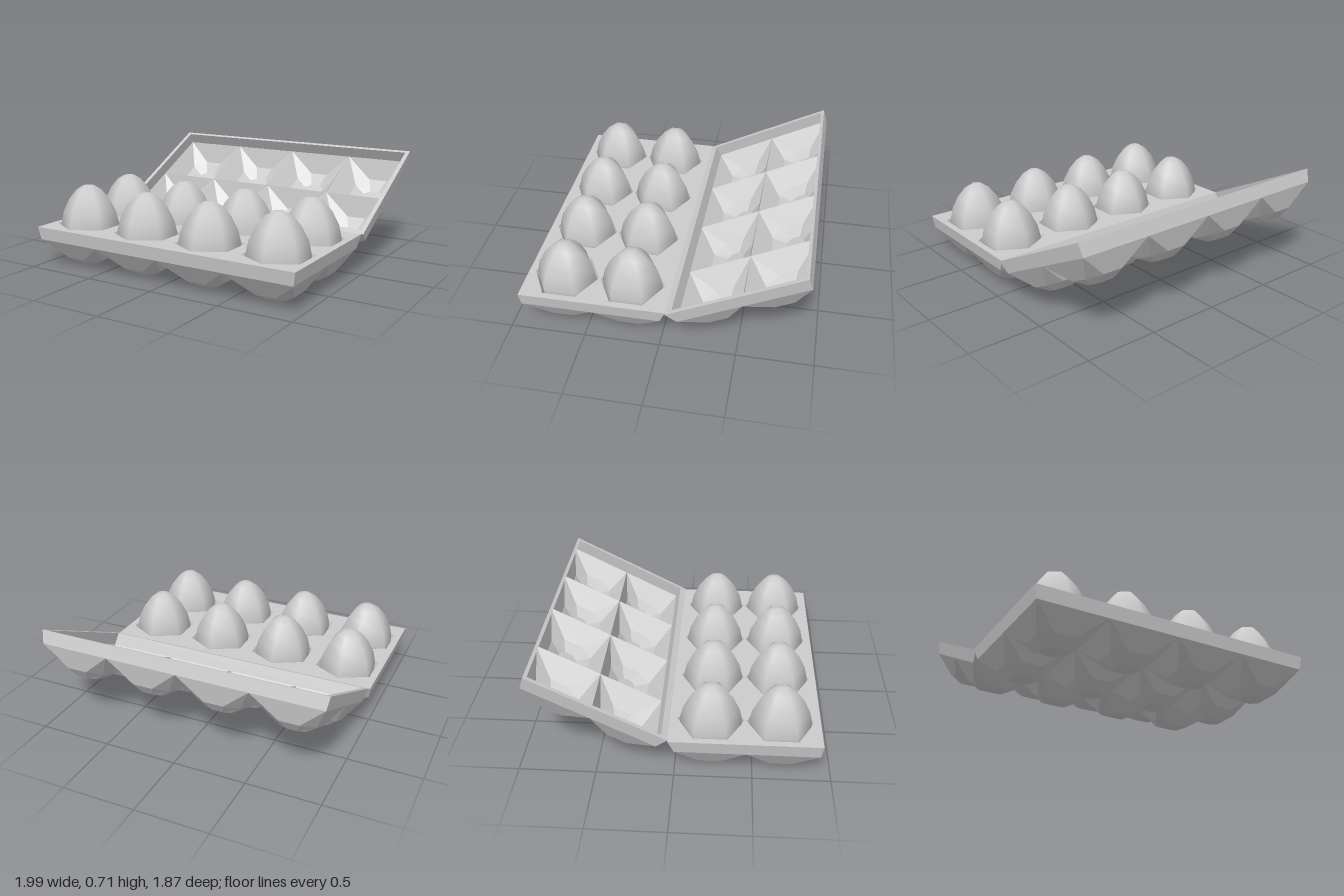
import * as THREE from 'three';

const card = new THREE.MeshStandardMaterial({ color: 0xcccccc, flatShading: true, side: THREE.DoubleSide });
const shellMat = new THREE.MeshStandardMaterial({ color: 0xcccccc });

// Cell layout, measured from the hinge edge (local z = 0) with the opening at y = 0
const CELL_X = [-0.975, -0.495, 0, 0.495, 0.975];
const CELL_Z = [0.04, 0.497, 0.96];
const CUP_X = [-0.745, -0.248, 0.248, 0.745];
const CUP_Z = [0.26, 0.718];
const EGG_Z = [0.265, 0.712];
const RIM = -0.09;

// Faceted skin through matching loops of points, optionally closed at the end
function loft(loops, cap = false) {
  const pos = [];
  const tri = (a, b, c) => {
    if (a.distanceTo(b) > 1e-5 && b.distanceTo(c) > 1e-5 && a.distanceTo(c) > 1e-5)
      for (const p of [a, b, c]) pos.push(p.x, p.y, p.z);
  };
  const n = loops[0].length;
  for (let k = 0; k + 1 < loops.length; k++) {
    const a = loops[k], b = loops[k + 1];
    for (let i = 0; i < n; i++) {
      const j = (i + 1) % n;
      tri(a[i], a[j], b[j]);
      tri(a[i], b[j], b[i]);
    }
  }
  if (cap) {
    const e = loops[loops.length - 1];
    for (let i = 1; i + 1 < n; i++) tri(e[0], e[i], e[i + 1]);
  }
  const g = new THREE.BufferGeometry();
  g.setAttribute('position', new THREE.Float32BufferAttribute(pos, 3));
  g.computeVertexNormals();
  return g;
}

const rect = (x0, x1, z0, z1, y) =>
  [[x1, z1], [x0, z1], [x0, z0], [x1, z0]].map(([x, z]) => new THREE.Vector3(x, y, z));

function octagon(cx, cz, a, b, y) {
  const k = 0.45;
  return [[1, k], [k, 1], [-k, 1], [-1, k], [-1, -k], [-k, -1], [k, -1], [1, -k]]
    .map(([x, z]) => new THREE.Vector3(cx + a * x, y, cz + b * z));
}

// Hexagon with points toward +z and -z
function hexagon(cx, cz, halfX, halfZ, y) {
  return [0, 1, 2, 3, 4, 5].map(i => {
    const t = Math.PI / 2 + i * Math.PI / 3;
    return new THREE.Vector3(cx + halfX * Math.cos(t) / 0.866, y, cz + halfZ * Math.sin(t));
  });
}

function add(parent, name, geometry, material = card) {
  const mesh = new THREE.Mesh(geometry, material);
  mesh.name = name;
  parent.add(mesh);
  return mesh;
}

// One carton half: slightly flared rim wall and eight tapering cups
function cartonHalf(name) {
  const half = new THREE.Group();
  half.name = name;
  add(half, 'rimWall', loft([
    rect(-0.99, 0.99, 0, 0.973, 0),
    rect(-0.975, 0.975, 0.04, 0.96, RIM),
  ]));
  for (let j = 0; j < 2; j++) for (let i = 0; i < 4; i++) {
    // each cell corner is doubled so it fans out to an octagon edge
    const corners = rect(CELL_X[i], CELL_X[i + 1], CELL_Z[j], CELL_Z[j + 1], RIM).flatMap(p => [p, p]);
    add(half, 'cup', loft([
      corners,
      octagon(CUP_X[i], CUP_Z[j], 0.15, 0.15, -0.222),
      octagon(CUP_X[i], CUP_Z[j], 0.078, 0.065, -0.27),
    ], true));
  }
  return half;
}

export function createModel() {
  const model = new THREE.Group();
  model.name = 'eggCarton';

  // Tray
  const tray = cartonHalf('tray');
  tray.position.set(-0.01, 0.27, -0.038);
  model.add(tray);

  // Top plate with hexagonal openings
  const flat = pts => pts.map(p => new THREE.Vector2(p.x, p.z));
  const plate = new THREE.Shape(flat(rect(-0.99, 0.99, 0, 0.973, 0)));
  for (const z of EGG_Z) for (const x of CUP_X)
    plate.holes.push(new THREE.Path(flat(hexagon(x, z, 0.2, 0.217, 0))));
  add(tray, 'topPlate', new THREE.ShapeGeometry(plate).rotateX(Math.PI / 2));

  // Smooth six-sided eggs, each in a short socket
  const profile = [[0, -0.235], [0.09, -0.215], [0.16, -0.15], [0.198, -0.06], [0.203, 0], [0.183, 0.09],
    [0.138, 0.18], [0.085, 0.245], [0.04, 0.272], [0, 0.277]].map(([r, y]) => new THREE.Vector2(r, y));
  const eggGeometry = new THREE.LatheGeometry(profile, 6);
  for (const z of EGG_Z) for (const x of CUP_X) {
    add(tray, 'socket', loft([hexagon(x, z, 0.2, 0.217, 0), hexagon(x, z, 0.172, 0.195, -0.08)]));
    add(tray, 'egg', eggGeometry, shellMat).position.set(x, 0, z);
  }

  // Lid, swung open on the hinge edge
  const lid = cartonHalf('lid');
  lid.position.set(0.003, 0.27, -0.038);
  lid.rotation.set(0.467, Math.PI, 0);
  add(lid, 'lidRim', loft([
    rect(-0.99, 0.99, 0, 0.973, 0),
    rect(-0.96, 0.96, 0.045, 0.95, 0),
    rect(-0.974, 0.974, 0.042, 0.958, RIM),
  ]));
  model.add(lid);

  return model;
}
